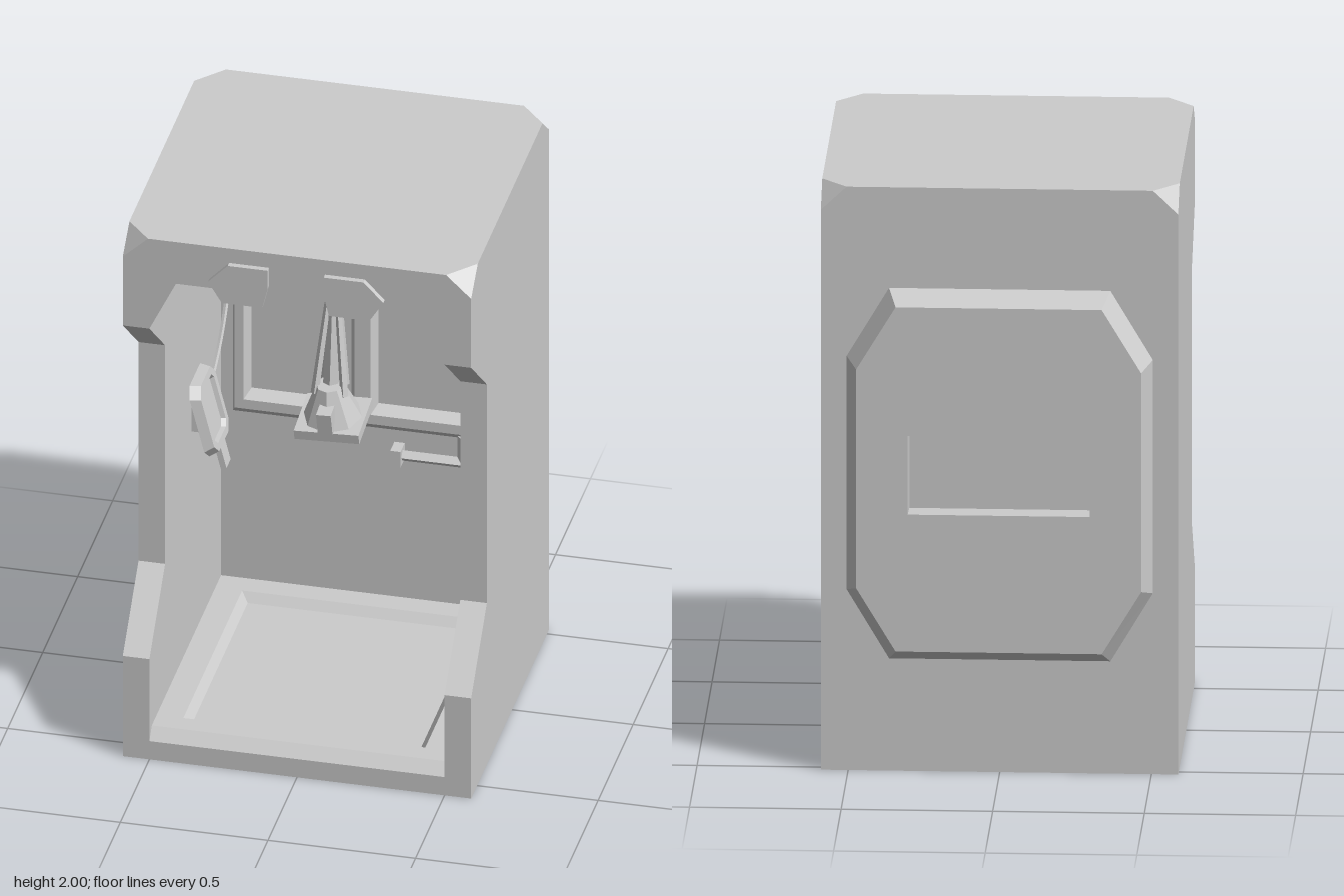
import * as THREE from 'three';

const V = (x, y, z) => new THREE.Vector3(x, y, z);
const X = V(1, 0, 0), Y = V(0, 1, 0), Z = V(0, 0, 1);
const neg = (v) => v.clone().negate();
const mat = new THREE.MeshStandardMaterial({ color: 0xcccccc, flatShading: true, side: THREE.DoubleSide });

// Triangles of a planar polygon (with holes), turned to face along n
function face(out, pts, n, holes = []) {
  const a = [Math.abs(n.x), Math.abs(n.y), Math.abs(n.z)], m = a.indexOf(Math.max(...a));
  const flat = (p) => (m === 0 ? new THREE.Vector2(p.z, p.y) : m === 1 ? new THREE.Vector2(p.x, p.z) : new THREE.Vector2(p.x, p.y));
  const all = [pts, ...holes].flat();
  for (const [i, j, k] of THREE.ShapeUtils.triangulateShape(pts.map(flat), holes.map((h) => h.map(flat)))) {
    const [p, q, r] = [all[i], all[j], all[k]];
    const d = q.clone().sub(p).cross(r.clone().sub(p)).dot(n);
    for (const v of d < 0 ? [p, r, q] : [p, q, r]) out.push(v.x, v.y, v.z);
  }
}

// Band of quads between two loops
function band(out, A, B, n) {
  A.forEach((p, i) => {
    const j = (i + 1) % A.length;
    face(out, [p, A[j], B[j]], n);
    face(out, [p, B[j], B[i]], n);
  });
}

function mesh(parent, name, geo) {
  const o = new THREE.Mesh(geo, mat);
  o.name = name;
  parent.add(o);
  return o;
}

function solid(parent, name, build) {
  const out = [];
  build(out);
  const g = new THREE.BufferGeometry();
  g.setAttribute('position', new THREE.Float32BufferAttribute(out, 3));
  g.computeVertexNormals();
  return mesh(parent, name, g);
}

const rect = (x0, x1, y0, y1, z) => [V(x0, y0, z), V(x1, y0, z), V(x1, y1, z), V(x0, y1, z)];
const floorRect = (x, z0, z1, y) => [V(-x, y, z0), V(x, y, z0), V(x, y, z1), V(-x, y, z1)];

function tube(parent, name, pts, r, sides = 5, seg = 16) {
  const c = new THREE.CatmullRomCurve3(pts.map((p) => V(...p)));
  return mesh(parent, name, new THREE.TubeGeometry(c, seg, r, sides));
}

function rod(parent, name, a, b, r0, r1 = r0, sides = 6) {
  const p = V(...a), q = V(...b), d = q.clone().sub(p);
  const o = mesh(parent, name, new THREE.CylinderGeometry(r1, r0, d.length(), sides));
  o.position.copy(p).add(q).multiplyScalar(0.5);
  o.quaternion.setFromUnitVectors(Y, d.normalize());
  return o;
}

const W = 0.59, I = 0.5, F = 0.585, B = -0.53, BACK = -0.44, C = 0.085, D = 0.095, H = 2;

function addShell(g) {
  // Outer skin, with the four top corners cut off
  solid(g, 'outerShell', (o) => {
    face(o, [V(-W + C, H, F), V(W - C, H, F), V(W, H, F - D), V(W, H, B + D), V(W - C, H, B), V(-W + C, H, B), V(-W, H, B + D), V(-W, H, F - D)], Y);
    face(o, floorRect(W, B, F, 0), neg(Y));
    face(o, [V(-W, 0, B), V(W, 0, B), V(W, H - 0.08, B), V(W - C, H, B), V(-W + C, H, B), V(-W, H - 0.08, B)], neg(Z));
    face(o, [V(-W, 1.655, F), V(-W, 1.92, F), V(-W + C, H, F), V(W - C, H, F), V(W, 1.92, F), V(W, 1.655, F),
      V(I, 1.655, F), V(0.41, 1.84, F), V(-0.41, 1.84, F), V(-I, 1.655, F)], Z);
    face(o, [V(-W, 0, F), V(W, 0, F), V(W, 0.385, F), V(I, 0.385, F), V(I, 0.07, F), V(-I, 0.07, F), V(-I, 0.385, F), V(-W, 0.385, F)], Z);
    for (const s of [-1, 1]) {
      const side = [[B, 0], [F, 0], [F, 0.385], [0.36, 0.62], [0.36, 1.46], [F, 1.655], [F, 1.92], [F - D, H], [B + D, H], [B, 1.92]];
      face(o, side.map(([z, y]) => V(s * W, y, z)), V(s, 0, 0));
      const edge = side.slice(2, 6);
      for (let i = 0; i < 3; i++) {
        const [[z0, y0], [z1, y1]] = [edge[i], edge[i + 1]];
        face(o, [V(s * I, y0, z0), V(s * W, y0, z0), V(s * W, y1, z1), V(s * I, y1, z1)], Z);
      }
      for (const [z, d] of [[F, -D], [B, D]])
        face(o, [V(s * W, 1.92, z), V(s * (W - C), H, z), V(s * W, H, z + d)], V(s, 1, -Math.sign(d)));
    }
  });

  // Inner walls, sloping upper sides and ceiling
  solid(g, 'innerWalls', (o) => {
    for (const s of [-1, 1]) {
      const wall = [[F, 0.07], [0.55, 0.11], [BACK, 0.11], [BACK, 1.655], [F, 1.655], [0.36, 1.46], [0.36, 0.62], [F, 0.385]];
      face(o, wall.map(([z, y]) => V(s * I, y, z)), V(-s, 0, 0));
      face(o, [V(s * I, 1.655, F), V(s * 0.41, 1.84, F), V(s * 0.41, 1.84, BACK), V(s * I, 1.655, BACK)], V(-s, -0.4, 0));
    }
    face(o, floorRect(0.41, BACK, F, 1.84), neg(Y));
    face(o, [V(-I, 0.11, BACK), V(I, 0.11, BACK), V(I, 1.655, BACK), V(0.41, 1.84, BACK), V(-0.41, 1.84, BACK), V(-I, 1.655, BACK)], Z);
    face(o, [V(-I, 1.655, BACK + 0.002), V(I, 1.655, BACK + 0.002), V(0.483, 1.69, BACK + 0.03), V(-0.483, 1.69, BACK + 0.03)], Z);
    face(o, floorRect(0.483, BACK, BACK + 0.03, 1.69), Y);
  });

  // Floor with a sloping sill and a shallow tray
  solid(g, 'floorTray', (o) => {
    const rim = floorRect(0.41, -0.36, 0.48, 0.11), low = floorRect(0.385, -0.335, 0.455, 0.08);
    face(o, [V(-I, 0.07, F), V(I, 0.07, F), V(I, 0.11, 0.55), V(-I, 0.11, 0.55)], Y);
    face(o, floorRect(I, BACK, 0.55, 0.11), Y, [rim]);
    band(o, rim, low, Y);
    face(o, low, Y);
  });
}

function addBackPanel(g) {
  const octagon = (w, y0, y1, cx, cy, z) => [V(-w + cx, y0, z), V(w - cx, y0, z), V(w, y0 + cy, z), V(w, y1 - cy, z),
    V(w - cx, y1, z), V(-w + cx, y1, z), V(-w, y1 - cy, z), V(-w, y0 + cy, z)];
  solid(g, 'backPanel', (o) => {
    const rim = octagon(0.505, 0.385, 1.655, 0.14, 0.235, B), top = octagon(0.47, 0.43, 1.61, 0.13, 0.215, -0.605);
    const slot = rect(-0.3, 0.3, 0.9, 1.17, -0.605), deep = rect(-0.297, 0.297, 0.903, 1.167, -0.475);
    band(o, rim, top, neg(Z));
    face(o, top, neg(Z), [slot]);
    band(o, slot, deep, neg(Z));
    face(o, deep, neg(Z));
  });
}

function addDoubleScreen(g) {
  solid(g, 'doubleScreen', (o) => {
    const front = rect(-0.435, 0.43, 0.81, 1.43, -0.36);
    const bays = [[-0.405, -0.03], [0.025, 0.405]];
    const holes = bays.map(([a, b]) => rect(a, b, 0.845, 1.395, -0.36));
    band(o, rect(-0.46, 0.455, 0.75, 1.455, BACK), front, Z);
    face(o, front, Z, holes);
    bays.forEach(([a, b], i) => {
      const low = rect(a + 0.018, b - 0.018, 0.87, 1.36, -0.4);
      band(o, holes[i], low, Z);
      face(o, low, Z);
    });
  });
  // Bent rail below the screens
  const rail = [[0.33, 0.78, -0.4], [0.33, 0.68, -0.4], [0.1, 0.68, -0.4]];
  rod(g, 'railDrop', rail[0], rail[1], 0.02, 0.02, 4);
  rod(g, 'rail', [0.35, 0.68, -0.4], rail[2], 0.02, 0.02, 4);
  mesh(g, 'railEnd', new THREE.BoxGeometry(0.035, 0.06, 0.06)).position.set(0.107, 0.68, -0.4);
}

function addFrontLamps(g) {
  const pts = [[0.297, 1.875], [0.23, 1.945], [0.095, 1.945], [0.095, 1.875], [0.113, 1.8], [0.25, 1.8]];
  for (const s of [-1, 1]) {
    const shape = new THREE.Shape(pts.map(([x, y]) => new THREE.Vector2(s * x, y)));
    mesh(g, 'frontLamp', new THREE.ExtrudeGeometry(shape, { depth: 0.02, bevelEnabled: false })).position.z = F;
  }
}

// Hanging arm carrying a flat, tilted head
function addHangingTool(g) {
  const t = new THREE.Group();
  t.name = 'hangingTool';
  t.position.z = 0.09;
  g.add(t);
  rod(t, 'hangerRod', [0, 1.84, -0.06], [0, 1.58, -0.04], 0.015);
  mesh(t, 'hangerPlate', new THREE.BoxGeometry(0.06, 0.025, 0.06)).position.set(0, 1.79, -0.06);
  mesh(t, 'collar', new THREE.CylinderGeometry(0.04, 0.04, 0.025, 6)).position.set(0, 1.57, -0.04);
  rod(t, 'innerSleeve', [0, 1.22, 0], [0, 1.64, -0.04], 0.03, 0.018);
  for (const s of [-1, 1]) {
    rod(t, 'sideStrut', [s * 0.05, 1.2, 0.03], [s * 0.015, 1.55, -0.02], 0.014, 0.01, 4);
    rod(t, 'rearStrut', [s * 0.035, 1.2, -0.05], [s * 0.01, 1.55, -0.06], 0.014, 0.01, 4);
  }
  const head = new THREE.Group();
  head.name = 'toolHead';
  head.position.set(0.005, 1.1, 0);
  head.rotation.set(0.15, 0, 0.05);
  t.add(head);
  mesh(head, 'headPlate', new THREE.BoxGeometry(0.22, 0.035, 0.2)).position.y = -0.01;
  mesh(head, 'headDome', new THREE.CylinderGeometry(0.045, 0.1, 0.13, 8)).position.y = 0.07;
  mesh(head, 'headGrip', new THREE.BoxGeometry(0.05, 0.08, 0.06)).position.set(0, 0.05, 0.08);
}

// Tilted tablet held on the right wall, with its cable
function addTablet(g) {
  const t = new THREE.Group();
  t.name = 'wallTablet';
  t.position.set(-0.445, 0.98, -0.055);
  t.rotation.set(0, Math.PI / 2, 0);
  const tilt = new THREE.Group();
  tilt.name = 'tabletBody';
  tilt.rotation.x = -0.25;
  t.add(tilt);
  g.add(t);
  const outline = (w, h, c) => [[-w + c, -h], [w - c, -h], [w, -h + c], [w, h - c], [w - c, h], [-w + c, h], [-w, h - c], [-w, -h + c]].map(([x, y]) => V(x, y, 0));
  const at = (pts, z) => pts.map((p) => V(p.x, p.y, z));
  solid(tilt, 'tabletCase', (o) => {
    const big = outline(0.11, 0.135, 0.035), hole = outline(0.075, 0.1, 0.02);
    face(o, at(big, -0.02), neg(Z));
    band(o, at(big, -0.02), at(outline(0.1, 0.125, 0.035), 0.015), Z);
    face(o, at(outline(0.1, 0.125, 0.035), 0.015), Z, [at(hole, 0.015)]);
    band(o, at(hole, 0.015), at(outline(0.07, 0.095, 0.02), 0), Z);
    face(o, at(outline(0.07, 0.095, 0.02), 0), Z);
  });
  mesh(tilt, 'tabletGrip', new THREE.BoxGeometry(0.06, 0.09, 0.02)).position.set(0, -0.165, 0);
  mesh(t, 'wallMount', new THREE.BoxGeometry(0.08, 0.1, 0.05)).position.set(0, -0.02, -0.035);
  tube(g, 'tabletCable', [[-0.47, 0.98, -0.1], [-0.455, 1.15, -0.25], [-0.45, 1.36, -0.38]], 0.008);
}

// Cables looping down from the ceiling
function addCables(g) {
  for (const [x0, x1, y, z] of [[-0.39, -0.31, 1.45, -0.2], [-0.37, -0.33, 1.49, -0.12], [-0.13, -0.07, 1.55, -0.25], [-0.1, -0.05, 1.51, -0.15],
    [0.1, 0.12, 1.59, -0.2], [0.21, 0.27, 1.61, -0.2], [0.34, 0.38, 1.43, -0.2], [0.35, 0.37, 1.46, -0.1]]) {
    const m = (x0 + x1) / 2;
    tube(g, 'hangingCable', [[x0 + 0.01, 1.84, z], [x0, y + 0.1, z], [m, y, z + 0.02], [x1, y + 0.1, z + 0.04], [x1, 1.84, z + 0.04]], 0.009);
  }
}

export function createModel() {
  const g = new THREE.Group();
  g.name = 'booth';
  for (const add of [addShell, addBackPanel, addDoubleScreen, addFrontLamps, addHangingTool, addTablet, addCables]) add(g);
  return g;
}
